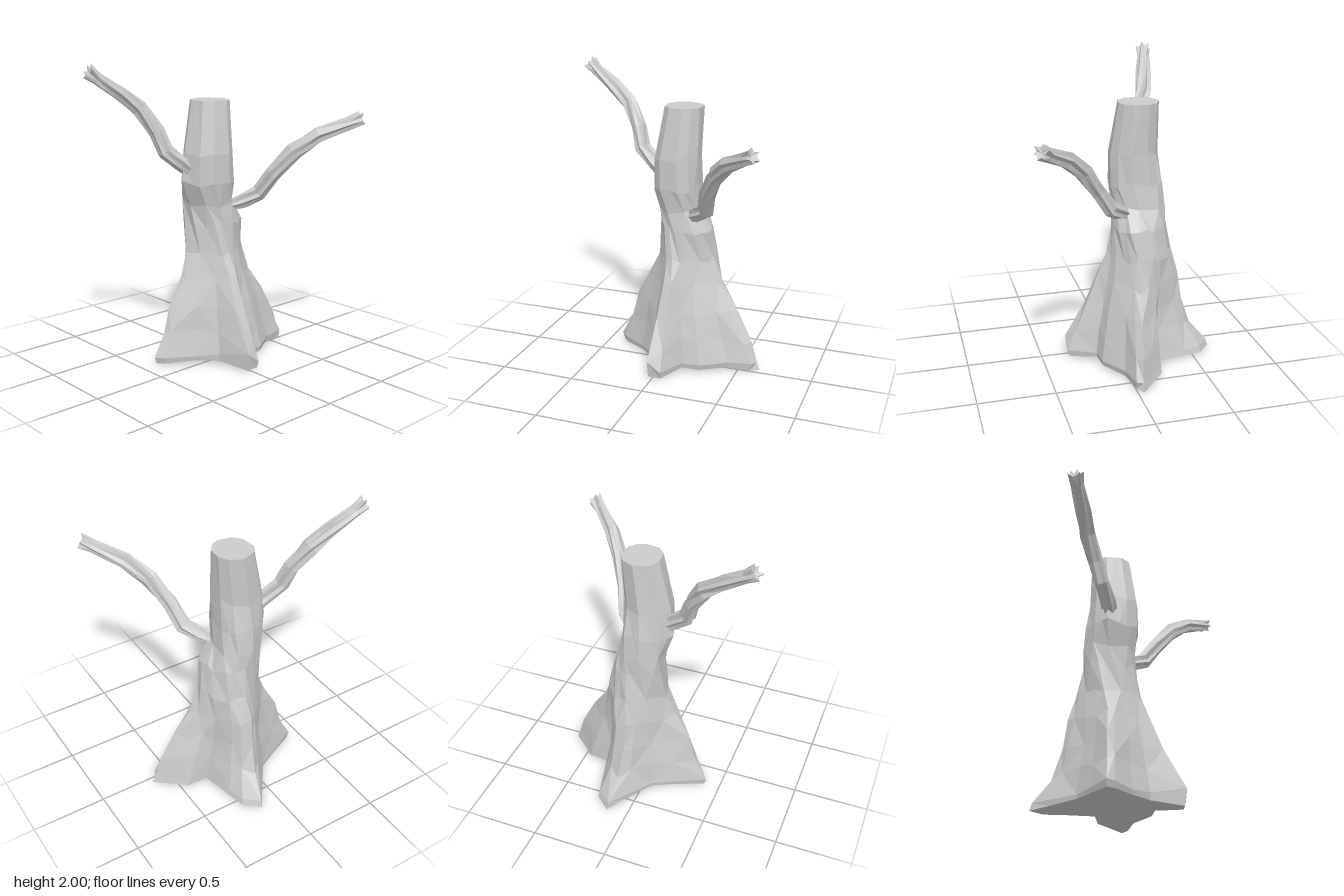
import * as THREE from 'three';

const V = (x, y, z) => new THREE.Vector3(x, y, z);
const material = new THREE.MeshStandardMaterial({ color: 0xcccccc, flatShading: true });

function seeded(seed) {
  return () => {
    seed = (seed * 16807) % 2147483647;
    return (seed / 2147483647) * 2 - 1;
  };
}

// Skin a stack of equal-length rings with faceted triangles and close both ends.
function loft(name, rings, startCentre, endCentre) {
  const pos = [];
  const tri = (...p) => p.forEach((v) => pos.push(v.x, v.y, v.z));
  const n = rings[0].length;
  for (let k = 0; k < rings.length - 1; k++) {
    for (let i = 0; i < n; i++) {
      const j = (i + 1) % n;
      const a = rings[k][i], b = rings[k][j], c = rings[k + 1][j], d = rings[k + 1][i];
      if ((i + k) % 2) { tri(a, b, c); tri(a, c, d); }
      else { tri(a, b, d); tri(b, c, d); }
    }
  }
  const last = rings[rings.length - 1];
  for (let i = 0; i < n; i++) {
    const j = (i + 1) % n;
    tri(startCentre, rings[0][j], rings[0][i]);
    tri(endCentre, last[i], last[j]);
  }
  const g = new THREE.BufferGeometry();
  g.setAttribute('position', new THREE.Float32BufferAttribute(pos, 3));
  g.computeVertexNormals();
  const mesh = new THREE.Mesh(g, material);
  mesh.name = name;
  return mesh;
}

// Root outline on the ground as [x, z], anticlockwise from above.
const ROOTS = [
  [0.64, -0.04], [0.53, -0.14], [0.46, -0.21], [0.32, -0.23], [0.27, -0.44],
  [0.24, -0.56], [0.14, -0.645], [0.06, -0.53], [-0.07, -0.35], [-0.22, -0.27],
  [-0.41, -0.18], [-0.37, -0.13], [-0.20, -0.02], [-0.08, 0.10], [-0.03, 0.33],
  [0.06, 0.33], [0.15, 0.15], [0.27, 0.14], [0.44, 0.03], [0.60, 0.00],
];

// Trunk levels: height, root spread, twist, centre x, radius x, centre z, radius z.
const LEVELS = [
  [0.005, 1, 0, 0.06, 0.16, -0.15, 0.18],
  [0.06, 1, 0, 0.06, 0.16, -0.15, 0.18],
  [0.22, 0.8, 0, 0.06, 0.16, -0.15, 0.18],
  [0.40, 0.57, 0, 0.06, 0.16, -0.15, 0.18],
  [0.58, 0.29, 0.02, 0.07, 0.165, -0.15, 0.18],
  [0.75, 0.1, -0.1, 0.075, 0.16, -0.155, 0.18],
  [0.94, 0.02, -0.3, 0.065, 0.16, -0.16, 0.18],
  [1.06, 0, -0.5, 0.045, 0.155, -0.16, 0.18],
  [1.22, 0, -0.65, 0.02, 0.172, -0.145, 0.18],
  [1.42, 0, -0.7, 0.025, 0.155, -0.135, 0.16],
  [1.75, 0, -0.75, 0.06, 0.13, -0.15, 0.135],
];

function trunk() {
  const rand = seeded(71);
  const n = ROOTS.length;
  const rings = LEVELS.map(([y, spread, twist, cx, rx, cz, rz], k) => {
    const top = k === LEVELS.length - 1;
    const ring = ROOTS.map(([bx, bz], i) => {
      // Half follow the direction of the root, half even spacing
      let a = Math.atan2(-(bz + 0.15), bx - 0.06);
      const even = (i / n) * Math.PI * 2 - 0.18;
      while (a < even - Math.PI) a += Math.PI * 2;
      while (a > even + Math.PI) a -= Math.PI * 2;
      a = (a + even) / 2 + twist;
      const wobble = 1 + (k > 1 && !top ? 0.08 * rand() : 0);
      // The back root falls away more steeply than the others
      const steep = 1 - 0.25 * Math.max(0, Math.sin(a));
      let w = spread * steep * (1 + 0.08 * rand());
      // Left and back toes slope out to the ground, the others are undercut
      const sloping = bx > 0.1 && bz < -0.03;
      if (k < 2) w = sloping === (k === 0) ? 1 : 0.95;
      // Swollen strand winding round the left side
      const strandAngle = 0.9 - (y - 0.6) * 3.8;
      const strand = y > 0.5 && y < 1 ? 0.045 * Math.max(0, Math.cos(a - strandAngle)) ** 3 : 0;
      const x = cx + (rx * wobble + strand) * Math.cos(a);
      const z = cz - (rz * wobble + strand) * Math.sin(a);
      // Underside rises between the roots, and the front root has a taller toe
      const reach = Math.min(1, Math.hypot(bx - 0.06, bz + 0.15) / 0.58);
      let lift = top ? 0 : 0.03 * rand();
      if (k === 0) lift = 0.05 * (1 - reach);
      if (k === 1) lift = bx < 0 ? 0.2 * Math.max(0, bz) : 0;
      return V(x + (bx - x) * w, y + lift, z + (bz - z) * w);
    });
    // Fewer, broader planes on the upper trunk
    if (y > 1) {
      for (let i = 1; i < n; i += 2) {
        ring[i].copy(ring[i - 1]).lerp(ring[(i + 1) % n], k % 2 ? 0.4 : 0.6);
      }
    }
    return ring;
  });
  return loft('trunk', rings, V(0.08, 0.03, -0.14), V(0.06, 1.75, -0.15));
}

// Gnarled branch: a grooved star section following a bent path, splintered at the end.
function branch(name, path, radii, seed) {
  const rand = seeded(seed);
  const sides = 12;
  const pts = path.map((p) => V(...p));
  const dirAt = (k) => pts[Math.min(k + 1, pts.length - 1)].clone().sub(pts[Math.max(k - 1, 0)]).normalize();
  const rings = pts.map((p, k) => {
    const t = dirAt(k);
    const u = V(0, 1, 0).cross(t).normalize();
    const v = t.clone().cross(u);
    const end = k === pts.length - 1;
    return Array.from({ length: sides }, (_, i) => {
      const a = (i / sides) * Math.PI * 2 + k * 0.2;
      const groove = i % 2 ? (end ? 0.58 : 0.74) : 1;
      const r = radii[k] * groove * (1 + 0.12 * rand());
      const splinter = end && i % 2 === 0 ? 0.012 + 0.012 * rand() : 0;
      return p.clone().addScaledVector(u, r * Math.cos(a)).addScaledVector(v, r * Math.sin(a))
        .addScaledVector(t, splinter);
    });
  });
  const tip = pts[pts.length - 1].clone().addScaledVector(dirAt(pts.length - 1), -0.01);
  return loft(name, rings, pts[0], tip);
}

export function createModel() {
  const tree = new THREE.Group();
  tree.name = 'deadTree';
  tree.add(trunk());
  tree.add(branch('rightBranch', [
    [-0.06, 1.27, -0.15], [-0.16, 1.345, -0.18], [-0.26, 1.43, -0.22], [-0.305, 1.56, -0.26],
    [-0.395, 1.71, -0.32], [-0.52, 1.81, -0.355], [-0.66, 1.91, -0.395], [-0.71, 1.95, -0.41],
  ], [0.055, 0.052, 0.05, 0.052, 0.058, 0.052, 0.042, 0.05], 19));
  tree.add(branch('leftBranch', [
    [0.15, 1.04, -0.045], [0.21, 1.075, 0.01], [0.285, 1.125, 0.09], [0.325, 1.26, 0.18],
    [0.405, 1.42, 0.29], [0.51, 1.53, 0.41], [0.66, 1.61, 0.55], [0.71, 1.64, 0.595],
  ], [0.042, 0.048, 0.052, 0.055, 0.056, 0.052, 0.042, 0.052], 43));
  return tree;
}
